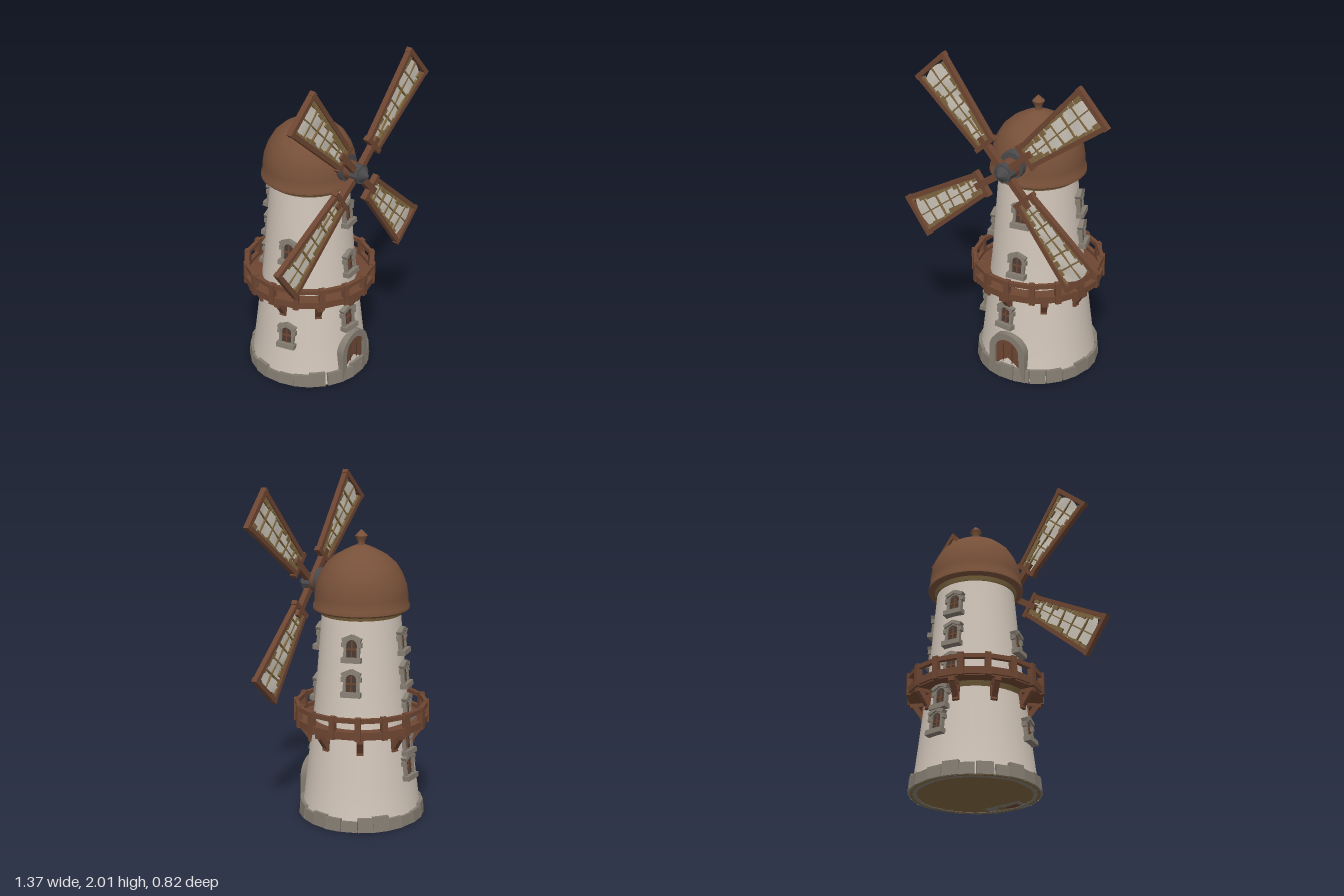
import * as THREE from 'three';
import { toCreasedNormals } from 'three/addons/utils/BufferGeometryUtils.js';

const flat = (name, color, side = THREE.FrontSide) => {
  const m = new THREE.MeshStandardMaterial({ color, side });
  m.name = name;
  return m;
};
const plaster = flat('plaster', 0xd0c4b8);
const roofBrown = flat('roofBrown', 0x775039);
const wood = flat('wood', 0x6e4632);
const stone = flat('stone', 0x857d72);
const metal = flat('darkMetal', 0x4a4a4c);
const tan = flat('tan', 0x7f673f);
const cloth = flat('sailCloth', 0xcbc4b8, THREE.DoubleSide);
const dark = flat('darkPane', 0x4a3a32);

let seed = 7;
const rand = () => (seed = (seed * 16807) % 2147483647) / 2147483647;
const rad = THREE.MathUtils.degToRad;

function add(parent, name, geo, mat, x = 0, y = 0, z = 0) {
  const m = new THREE.Mesh(geo, mat);
  m.name = name;
  m.position.set(x, y, z);
  parent.add(m);
  return m;
}
const box = (w, h, d) => new THREE.BoxGeometry(w, h, d);
const lathe = (pts, seg = 40) =>
  toCreasedNormals(new THREE.LatheGeometry(pts.map(p => new THREE.Vector2(...p)), seg), 0.7);

// Beam of section w x d running between two points
function beam(parent, name, a, b, w, d, mat) {
  const va = new THREE.Vector3(...a), vb = new THREE.Vector3(...b);
  const m = add(parent, name, box(w, va.distanceTo(vb), d), mat);
  m.position.copy(va).add(vb).multiplyScalar(0.5);
  m.quaternion.setFromUnitVectors(new THREE.Vector3(0, 1, 0), vb.sub(va).normalize());
  return m;
}

// Group turned to an azimuth, with its local +z pointing outward
function turned(parent, name, deg) {
  const g = new THREE.Group();
  g.name = name;
  g.rotation.y = rad(deg);
  parent.add(g);
  return g;
}

// Round-topped outline standing on y = 0
function arch(Type, w, h) {
  const s = new Type(), r = w / 2;
  s.moveTo(-r, 0).lineTo(r, 0).lineTo(r, h - r);
  s.absarc(0, h - r, r, 0, Math.PI, false);
  s.lineTo(-r, 0);
  return s;
}
const extrude = (s, depth) => toCreasedNormals(
  new THREE.ExtrudeGeometry(s, { depth, bevelEnabled: false, curveSegments: 8 }), 0.6);
function archFrame(w, h, t, depth) {
  const s = arch(THREE.Shape, w, h);
  s.holes.push(arch(THREE.Path, w - 2 * t, h - t));
  return extrude(s, depth);
}

const wall = [[0.365, 0], [0.347, 0.1], [0.325, 0.28], [0.3, 0.5], [0.276, 0.7], [0.255, 0.95], [0.23, 1.25]];
function wallRadius(y) {
  const i = Math.max(1, wall.findIndex(p => p[1] >= y));
  const [r0, y0] = wall[i - 1], [r1, y1] = wall[i];
  return r0 + (r1 - r0) * (y - y0) / (y1 - y0);
}

function windowAt(tower, deg, y) {
  const w = new THREE.Group();
  w.name = 'window';
  w.position.set(0, y, wallRadius(y));
  w.rotation.x = -0.11;
  turned(tower, 'windowMount', deg).add(w);
  add(w, 'windowFrame', archFrame(0.094, 0.125, 0.016, 0.04), stone, 0, -0.055, -0.022);
  add(w, 'windowPane', extrude(arch(THREE.Shape, 0.066, 0.108), 0.02), dark, 0, -0.053, -0.014);
  add(w, 'windowBar', box(0.008, 0.1, 0.008), wood, 0, -0.005, 0.008);
  add(w, 'windowBar', box(0.064, 0.008, 0.008), wood, 0, 0, 0.008);
  add(w, 'windowSill', box(0.116, 0.03, 0.06), stone, 0, -0.063, 0.006);
  // Stepped hood stones
  for (const s of [-1, 1]) {
    add(w, 'hoodStone', box(0.06, 0.022, 0.05), stone, s * 0.027, 0.063, 0.004).rotation.z = -s * 0.42;
    add(w, 'sideStone', box(0.022, 0.028, 0.044), stone, s * 0.048, 0.025, 0);
  }
}

// Sail blade running up its own +y from the hub
function blade(parent, deg, len) {
  const g = new THREE.Group();
  g.name = 'blade';
  g.rotation.z = rad(deg - 90);
  parent.add(g);
  const s0 = 0.19, half = s => 0.07 + 0.063 * (s - s0) / (len - s0);
  const e = 0.013, tip = half(len) - e, root = half(s0) - e;
  beam(g, 'bladeSpar', [0, 0, 0], [0, s0 + 0.05, 0], 0.038, 0.036, wood);
  for (const k of [-1, 1])
    beam(g, 'bladeSide', [k * root, s0 - 0.012, 0], [k * tip, len, 0], 0.026, 0.032, wood);
  add(g, 'bladeTip', box(2 * tip + 0.03, 0.027, 0.034), wood, 0, len - e, 0);
  add(g, 'bladeRoot', box(2 * root + 0.05, 0.027, 0.036), wood, 0, s0, 0);

  // Cloth ends in a point short of the tip, leaving open corners
  const geo = new THREE.PlaneGeometry(2, 1, 6, 14), p = geo.attributes.position;
  for (let i = 0; i < p.count; i++) {
    const u = p.getX(i), v = p.getY(i) + 0.5;
    const s = s0 + v * (len - 0.025 - s0 - 0.045 * u * u);
    p.setXYZ(i, u * (half(s) - 0.012), s, 0.005 * Math.sin(v * 17 + u * 2));
  }
  geo.computeVertexNormals();
  add(g, 'sail', geo, cloth);

  // Lattice laths and frayed patches along the edges
  for (let i = 1; i < 6; i++) {
    const s = s0 + (len - s0 - 0.03) * i / 6;
    add(g, 'lath', box(2 * half(s) - 0.03, 0.009, 0.016), tan, 0, s, 0).rotation.z = (rand() - 0.5) * 0.1;
  }
  beam(g, 'centreLath', [0.01, s0, 0], [-0.01, len - 0.03, 0], 0.007, 0.015, tan);
  for (const k of [-1, 1]) for (let i = 0; i < 10; i++) {
    const s = s0 + 0.03 + (len - s0 - 0.09) * i / 9, w = 0.012 + 0.022 * rand();
    add(g, 'frayedEdge', box(w, 0.035 + 0.025 * rand(), 0.017), tan, k * (half(s) - 0.024 - w / 2), s, 0);
  }
}

export function createModel() {
  const model = new THREE.Group();
  model.name = 'windmill';
  const tower = new THREE.Group();
  tower.name = 'tower';
  tower.position.set(0.027, 0, -0.012);
  model.add(tower);

  // Tower body, floor and rim under the roof
  add(tower, 'towerWall', lathe(wall), plaster);
  add(tower, 'floor', new THREE.CylinderGeometry(0.366, 0.366, 0.006, 40), tan, 0, 0.003, 0);
  add(tower, 'roofRim', new THREE.CylinderGeometry(0.25, 0.238, 0.035, 40), tan, 0, 1.247, 0);

  // Foundation stones of uneven height
  for (let i = 0; i < 24; i++) {
    const g = turned(tower, 'foundation', i * 15 + 4 * rand());
    const h = 0.06 + 0.035 * rand();
    add(g, 'foundationStone', box(0.096, h, 0.05), stone, 0, h / 2, 0.343 + 0.006 * rand()).rotation.x = -0.08;
  }

  // Dome and finial
  add(tower, 'dome', lathe([[0, 1.255], [0.272, 1.255], [0.284, 1.265], [0.282, 1.285], [0.275, 1.295],
    [0.274, 1.34], [0.265, 1.4], [0.243, 1.46], [0.207, 1.52], [0.155, 1.567], [0.1, 1.598], [0.05, 1.622], [0, 1.64]]), roofBrown);
  add(tower, 'finial', lathe([[0.026, 1.62], [0.02, 1.648], [0.038, 1.683], [0.014, 1.708], [0, 1.72]], 8), roofBrown);

  // Door in a stone arch
  add(tower, 'doorFrame', archFrame(0.25, 0.305, 0.042, 0.12), stone, 0, 0, 0.237);
  add(tower, 'door', extrude(arch(THREE.Shape, 0.17, 0.265), 0.1), wood, 0, 0, 0.243);
  for (const x of [-0.03, 0.03]) add(tower, 'doorSeam', box(0.005, 0.22, 0.006), dark, x, 0.115, 0.342);
  add(tower, 'doorStep', box(0.19, 0.018, 0.05), stone, 0, 0.009, 0.33);

  // Windows as azimuth and height
  [[9, 1.07], [6, 0.75], [-5, 0.41], [107, 1.07], [107, 0.87], [190, 1.08], [190, 0.88], [190, 0.68],
    [180, 0.49], [178, 0.34], [-78, 0.87], [-76, 0.33]].forEach(([a, y]) => windowAt(tower, a, y));

  // Balcony deck, railing and brackets
  const R = 0.385, N = 16, step = 360 / N, side = 2 * R * Math.sin(Math.PI / N);
  const deck = add(tower, 'deck', lathe([[0.27, 0.568], [R, 0.568], [R, 0.595], [0.26, 0.603]], N), wood);
  deck.rotation.y = rad(4);
  add(tower, 'deckCollar', lathe([[0.293, 0.535], [0.31, 0.57]]), tan);
  for (let i = 0; i < N; i++) {
    add(turned(tower, 'railing', 4 + i * step), 'railPost', box(0.034, 0.135, 0.034), wood, 0, 0.636, R);
    const g = turned(tower, 'railing', 4 + (i + 0.5) * step), mid = R * Math.cos(Math.PI / N);
    add(g, 'topRail', box(side, 0.026, 0.024), wood, 0, 0.684, mid);
    add(g, 'lowerRail', box(side + 0.008, 0.042, 0.026), wood, 0, 0.597, mid);
  }
  for (let i = 0; i < 9; i++) {
    const g = turned(tower, 'bracket', -2 + i * 40);
    beam(g, 'bracketStrut', [0, 0.47, 0.3], [0, 0.572, 0.37], 0.034, 0.03, wood);
    beam(g, 'bracketPost', [0, 0.455, 0.306], [0, 0.57, 0.29], 0.038, 0.03, wood);
    add(g, 'bracketBeam', box(0.036, 0.028, 0.11), wood, 0, 0.56, 0.328);
  }

  // Axle and hub facing forward
  const axle = (name, rBack, rFront, z0, z1, mat, y, seg) => {
    const geo = new THREE.CylinderGeometry(rFront, rBack, z1 - z0, seg).rotateX(Math.PI / 2);
    add(model, name, toCreasedNormals(geo, 0.6), mat, 0.025, y, (z0 + z1) / 2);
  };
  axle('axleCollar', 0.085, 0.08, 0.2, 0.273, metal, 1.39, 16);
  axle('axle', 0.06, 0.052, 0.26, 0.33, wood, 1.38, 12);
  axle('hub', 0.058, 0.058, 0.315, 0.368, metal, 1.375, 8);
  axle('hubNose', 0.048, 0.006, 0.368, 0.41, metal, 1.375, 8);

  // Four blades, slightly uneven in angle and length
  const blades = new THREE.Group();
  blades.name = 'blades';
  blades.position.set(0.022, 1.372, 0.332);
  blades.rotation.y = -0.015;
  model.add(blades);
  [[42.5, 0.765], [132.5, 0.735], [215.5, 0.78], [313, 0.755]].forEach(([a, l]) => blade(blades, a, l));
  return model;
}
